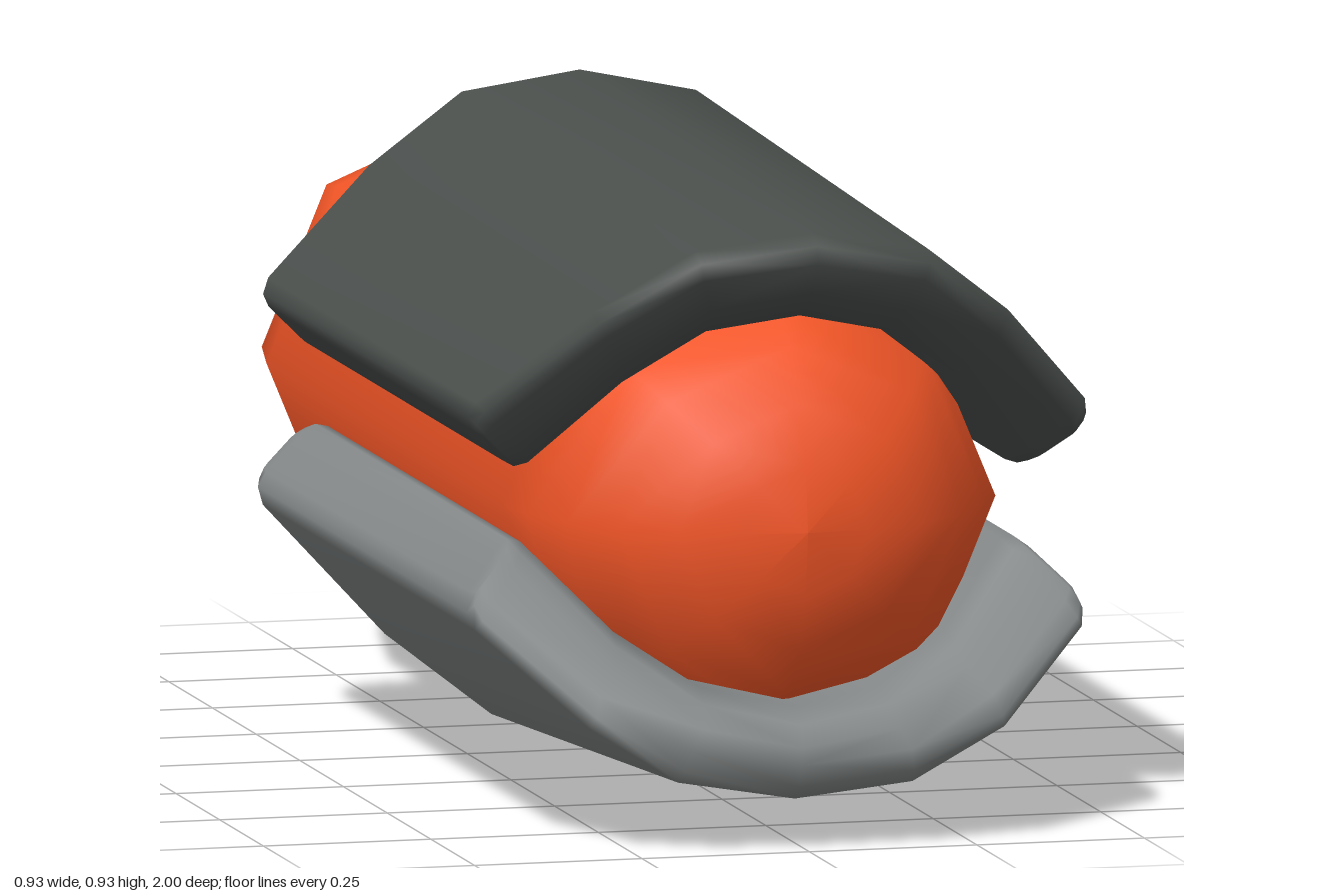
import * as THREE from 'three';

const AXIS = 0.47; // height of the capsule axis

function material(color, side = THREE.FrontSide) {
  return new THREE.MeshStandardMaterial({ color, side });
}

// Capsule lying along z: stepped tail with a shallow dimple, round nose
function makeBody() {
  const pts = [[0, -0.975], [0.13, -0.98], [0.17, -1], [0.26, -0.98], [0.33, -0.87], [0.362, -0.72], [0.362, 0.63]];
  for (let i = 1; i <= 6; i++) {
    const a = (i / 6) * Math.PI / 2;
    pts.push([0.362 * Math.cos(a), 0.63 + 0.362 * Math.sin(a)]);
  }
  const profile = pts.map(([r, y]) => new THREE.Vector2(Math.max(r, 0), y));
  const geo = new THREE.LatheGeometry(profile, 8).rotateX(Math.PI / 2);
  const mesh = new THREE.Mesh(geo, material(0xf45627));
  mesh.position.y = AXIS;
  mesh.name = 'capsuleBody';
  return mesh;
}

// Curved plate: half section of [outer, inner] point pairs, mirrored, swept along z
// between a front and a back cut, with rounded rims.
function makeShell({ name, color, outer, inner, sign, frontLift, frontCut, backCut }) {
  const half = outer.map((o, i) => [new THREE.Vector2(...o), new THREE.Vector2(...inner[i])]);
  // Round the tip: full thickness just before the end, narrower at the end
  const [o, n] = half.pop();
  const [po, pn] = half[half.length - 1];
  half.push([o.clone().lerp(po, 0.12), n.clone().lerp(pn, 0.12)]);
  half.push([o.clone().lerp(n, 0.08).lerp(po, 0.03), n.clone().lerp(o, 0.08).lerp(pn, 0.03)]);
  half.push([o.clone().lerp(n, 0.24), n.clone().lerp(o, 0.24)]);
  const flip = (p, s) => new THREE.Vector2(p.x * s, p.y);
  const pairs = [
    ...half.slice(1).reverse().map((q) => q.map((p) => flip(p, -sign))),
    ...half.map((q) => q.map((p) => flip(p, sign))),
  ];
  const N = pairs.length, L = 2 * N;

  // Rings: [distance from front cut, distance from back cut, rim shrink]
  const rings = [
    [0, null, 0.26], [0.01, null, 0.1], [0.035, null, 0],
    [null, 0.035, 0], [null, 0.01, 0.1], [null, 0, 0.26],
  ];
  const pos = [], idx = [];
  for (const [df, db, shrink] of rings) {
    const ring = pairs.map(([a, b], i) => {
      // Pull the tips in along the arc as well as thinning the plate
      const end = i === 0 ? 1 : i === N - 1 ? N - 2 : i;
      const pull = end === i ? 0 : Math.min(1, shrink * 2);
      const A = a.clone().lerp(pairs[end][0], pull);
      const B = b.clone().lerp(pairs[end][1], pull);
      return [A.clone().lerp(B, shrink), B.clone().lerp(A, shrink)];
    });
    const loop = [...ring.map((q) => q[0]), ...ring.map((q) => q[1]).reverse()];
    loop.forEach((p, j) => {
      const isOuter = j < N;
      const weight = isOuter && df !== null ? Math.max(0, 1 - (p.x / 0.46) ** 2) : 0;
      const y = p.y + frontLift * weight;
      pos.push(p.x, y, df !== null ? frontCut(y) - df : backCut(y) + db);
    });
  }
  for (let k = 0; k < rings.length - 1; k++) {
    for (let i = 0; i < L; i++) {
      const a = k * L + i, b = k * L + (i + 1) % L, c = a + L, d = b + L;
      idx.push(a, b, c, b, d, c);
    }
  }
  // End caps join each outer point to its inner partner
  const last = (rings.length - 1) * L;
  for (let i = 0; i < N - 1; i++) {
    const a = i, b = i + 1, c = L - 1 - i, d = L - 2 - i;
    idx.push(c, d, b, c, b, a);
    idx.push(last + c, last + b, last + d, last + c, last + a, last + b);
  }
  const geo = new THREE.BufferGeometry();
  geo.setAttribute('position', new THREE.Float32BufferAttribute(pos, 3));
  geo.setIndex(idx);
  geo.translate(0, -AXIS, 0);
  geo.computeVertexNormals();
  const mesh = new THREE.Mesh(geo, material(color));
  mesh.position.y = AXIS;
  mesh.rotation.z = -0.033; // slight roll around the capsule
  mesh.name = name;
  return mesh;
}

export function createModel() {
  const group = new THREE.Group();
  group.name = 'armouredCapsule';
  group.add(makeBody());

  group.add(makeShell({
    name: 'upperShell', color: 0x4b504d, sign: 1, frontLift: -0.033,
    outer: [[0, 0.938], [0.175, 0.907], [0.31, 0.8], [0.475, 0.615]],
    inner: [[0, 0.775], [0.135, 0.75], [0.243, 0.668], [0.372, 0.52]],
    frontCut: (y) => Math.min(1, 0.78 + (y - 0.54) * 0.68),
    backCut: () => -0.41,
  }));

  group.add(makeShell({
    name: 'lowerShell', color: 0x858989, sign: -1, frontLift: 0.073,
    outer: [[0, 0.005], [0.175, 0.04], [0.31, 0.142], [0.473, 0.328]],
    inner: [[0, 0.21], [0.135, 0.235], [0.247, 0.305], [0.374, 0.435]],
    frontCut: (y) => Math.min(1, 1 - (y - 0.19) * 1.05),
    backCut: (y) => Math.max(-0.41, -0.41 + (0.31 - y) * 1.03),
  }));

  return group;
}
